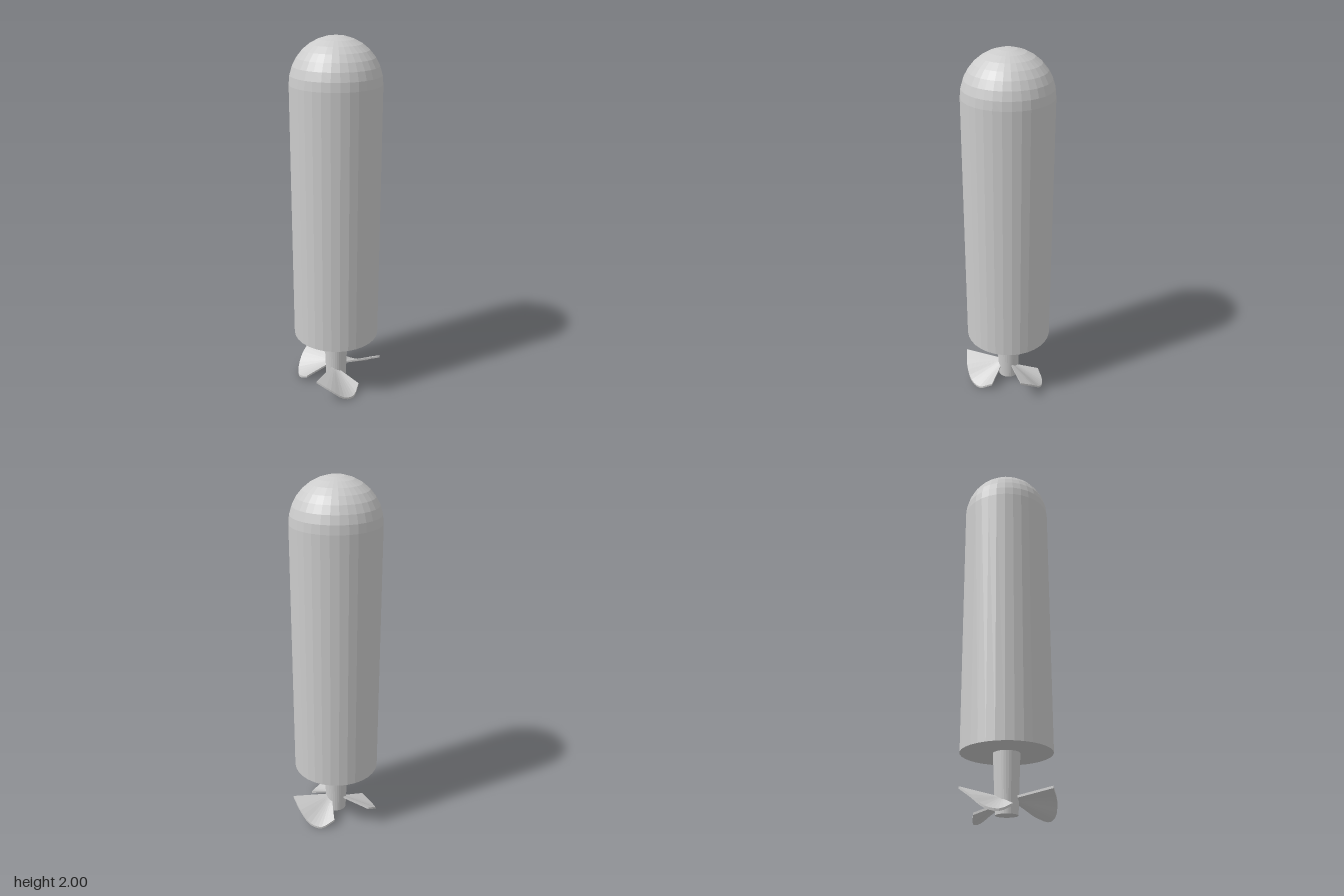
import * as THREE from 'three';

const SEGMENTS = 32;
const RADIUS = 0.24;

export function createModel() {
  const model = new THREE.Group();
  const material = new THREE.MeshStandardMaterial({ color: 0xcccccc, flatShading: true });
  const add = (parent, name, geometry) => {
    const mesh = new THREE.Mesh(geometry, material);
    mesh.name = name;
    parent.add(mesh);
    return mesh;
  };

  // Everything turns about one axis, which the uneven blades push slightly off centre
  const axis = new THREE.Group();
  axis.name = 'assembly';
  axis.position.set(-0.006, 0, 0.008);
  model.add(axis);

  // Body: flat base, straight wall and a hemispherical dome
  const profile = [new THREE.Vector2(0, 0.33), new THREE.Vector2(RADIUS, 0.33)];
  for (let i = 0; i <= 8; i++) {
    const a = (i / 8) * Math.PI / 2;
    profile.push(new THREE.Vector2(RADIUS * Math.cos(a), 2 - RADIUS + RADIUS * Math.sin(a)));
  }
  add(axis, 'body', new THREE.LatheGeometry(profile, SEGMENTS));

  // Tapered shaft
  const shaft = add(axis, 'shaft', new THREE.CylinderGeometry(0.07, 0.058, 0.31, SEGMENTS));
  shaft.position.y = 0.175;

  // Three scooped blades
  const propeller = new THREE.Group();
  propeller.name = 'propeller';
  axis.add(propeller);
  const blade = bladeGeometry();
  for (let k = 0; k < 3; k++) {
    add(propeller, 'blade', blade).rotation.y = k * 2 * Math.PI / 3;
  }
  return model;
}

// Point at an angle (degrees around the axis), radius and height
function polar(degrees, r, y) {
  const a = THREE.MathUtils.degToRad(degrees);
  return new THREE.Vector3(r * Math.cos(a), y, r * Math.sin(a));
}

// A thin slab stretched between a short root at the shaft and a curved outer edge
function bladeGeometry() {
  const start = 22;
  const outer = new THREE.CatmullRomCurve3([
    polar(start, 0.262, 0.13),
    polar(start - 18, 0.252, 0.08),
    polar(start - 36, 0.24, 0.021),
    polar(start - 52, 0.22, 0.007),
    polar(start - 71, 0.18, 0.04),
  ]);
  const geometry = new THREE.BoxGeometry(1, 1, 1, 8, 1, 12);
  const pos = geometry.attributes.position;
  for (let i = 0; i < pos.count; i++) {
    const u = pos.getX(i) + 0.5;
    const v = 0.5 - pos.getZ(i);
    const root = polar(start - 45 * v, 0.05, 0.105 - 0.02 * v);
    const p = root.lerp(outer.getPoint(v), u);
    pos.setXYZ(i, p.x, p.y + pos.getY(i) * 0.012, p.z);
  }
  geometry.computeVertexNormals();
  return geometry;
}
